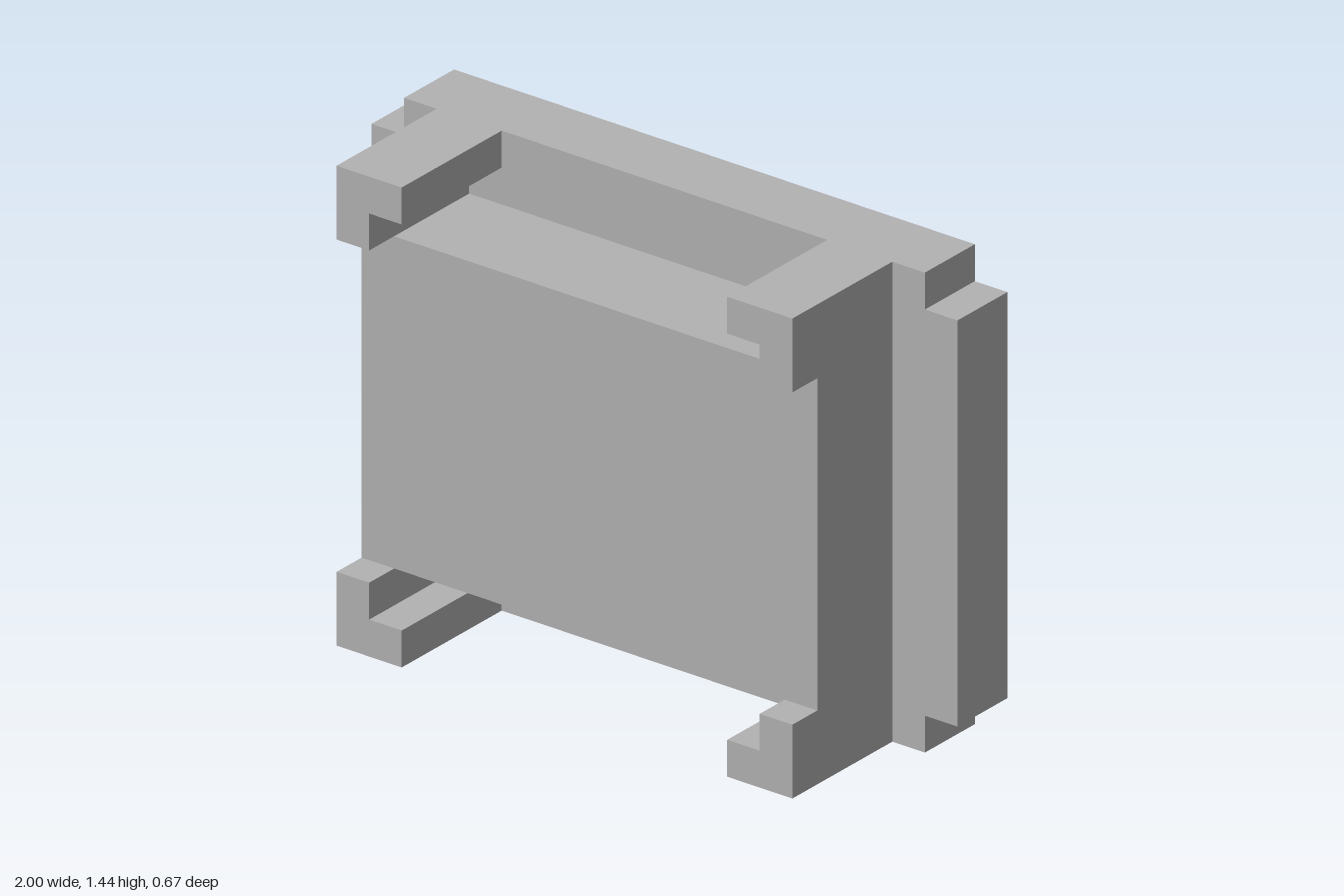
import * as THREE from 'three';

const U = 1 / 9; // modelling unit: 18 wide, 13 high, 6 deep

export function createModel() {
  const group = new THREE.Group();
  const grey = new THREE.MeshStandardMaterial({ color: 0xb2b2b2 });
  grey.name = 'grey';

  // Extrude an outline (in units, centred on x and on the mid height) from z0 to z1
  function slab(name, points, z0, z1) {
    const shape = new THREE.Shape(points.map(([x, y]) => new THREE.Vector2(x * U, (y + 6.5) * U)));
    const geo = new THREE.ExtrudeGeometry(shape, { depth: (z1 - z0) * U, bevelEnabled: false });
    geo.translate(0, 0, z0 * U);
    const mesh = new THREE.Mesh(geo, grey);
    mesh.name = name;
    group.add(mesh);
  }

  // Back plate with a square notch in each corner
  slab('backPlate', [
    [-8, -6.5], [8, -6.5], [8, -5.5], [9, -5.5], [9, 5.5], [8, 5.5],
    [8, 6.5], [-8, 6.5], [-8, 5.5], [-9, 5.5], [-9, -5.5], [-8, -5.5],
  ], -3, -1);

  // Solid block in front of the plate
  slab('body', [[-7, -4.5], [7, -4.5], [7, 4.5], [-7, 4.5]], -1, 2);

  // Four L-shaped corner brackets, mirrored left/right and top/bottom
  const bracket = [[7, 4.5], [7, 6.5], [5, 6.5], [5, 5.5], [6, 5.5], [6, 4.5]];
  for (const [sx, side] of [[1, 'Left'], [-1, 'Right']]) {
    for (const [sy, level] of [[1, 'top'], [-1, 'bottom']]) {
      slab(`${level}${side}Bracket`, bracket.map(([x, y]) => [x * sx, y * sy]), -1, 3);
    }
  }

  return group;
}
